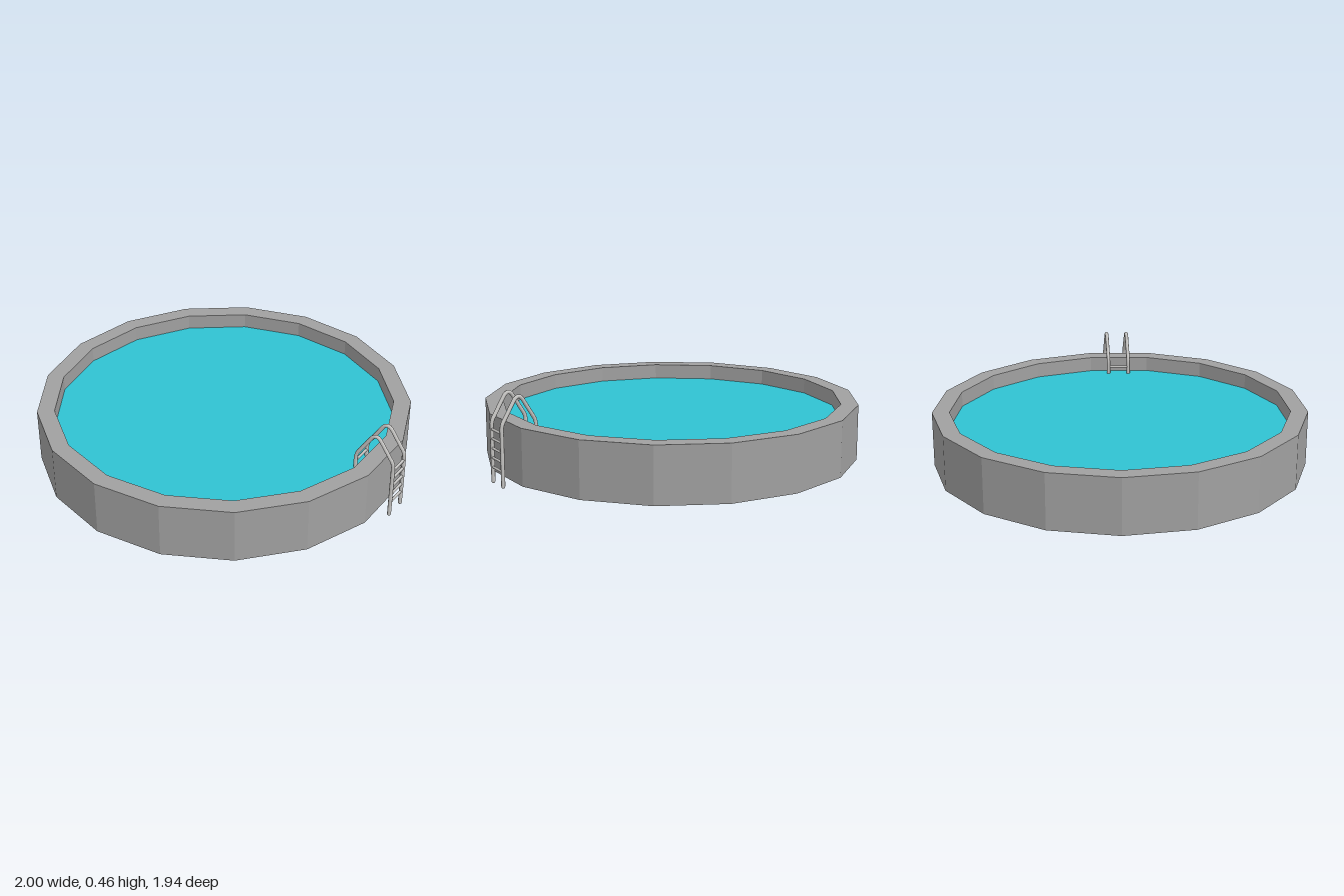
import * as THREE from 'three';

const SIDES = 17, OUTER = 0.977, INNER = 0.887;
const BASE = 0.025, RIM = 0.315, WATER = 0.235;
const CX = -0.027, CZ = -0.008;

const material = (name, color) => {
  const m = new THREE.MeshStandardMaterial({ color });
  m.name = name;
  return m;
};

export function createModel() {
  const stone = material('stone grey', 0xa0a0a0);
  stone.flatShading = true;
  const waterBlue = material('water blue', 0x2fc2d2);
  const metal = material('ladder metal', 0xc6c5c3);

  const model = new THREE.Group();
  model.name = 'swimmingPool';
  const add = (parent, name, geometry, mat) => {
    const mesh = new THREE.Mesh(geometry, mat);
    mesh.name = name;
    parent.add(mesh);
    return mesh;
  };

  // Faceted basin: underside, outer wall, rim, inner wall and floor
  const profile = [[0, BASE], [OUTER, BASE], [OUTER, RIM], [INNER, RIM], [INNER, 0.05], [0, 0.05]]
    .map(([r, y]) => new THREE.Vector2(r, y));
  const basinShape = new THREE.LatheGeometry(profile, SIDES).toNonIndexed();
  basinShape.computeVertexNormals();
  add(model, 'basin', basinShape, stone).position.set(CX, 0, CZ);

  // Water surface, with a corner towards the front like the basin
  const surface = new THREE.CircleGeometry(INNER, SIDES, -Math.PI / 2).rotateX(-Math.PI / 2);
  add(model, 'water', surface, waterBlue).position.set(CX, WATER, CZ);

  // Ladder straddling the rim; each rail runs from an inner to an outer foot
  const ladder = new THREE.Group();
  ladder.name = 'ladder';
  model.add(ladder);
  const rails = [
    { name: 'frontRail', inner: [0.797, -0.03], outer: [0.989, -0.071] },
    { name: 'backRail', inner: [0.787, -0.144], outer: [0.979, -0.185] },
  ];
  const at = (rail, t, y) => new THREE.Vector3(
    THREE.MathUtils.lerp(rail.inner[0], rail.outer[0], t), y,
    THREE.MathUtils.lerp(rail.inner[1], rail.outer[1], t));

  for (const rail of rails) {
    const p = (t, y) => at(rail, t, y);
    const path = new THREE.CurvePath();
    path.add(new THREE.LineCurve3(p(0, 0.06), p(0, 0.29)));
    path.add(new THREE.QuadraticBezierCurve3(p(0, 0.29), p(0, 0.318), p(0.08, 0.338)));
    path.add(new THREE.LineCurve3(p(0.08, 0.338), p(0.36, 0.425)));
    path.add(new THREE.QuadraticBezierCurve3(p(0.36, 0.425), p(0.5, 0.468), p(0.64, 0.425)));
    path.add(new THREE.LineCurve3(p(0.64, 0.425), p(0.92, 0.338)));
    path.add(new THREE.QuadraticBezierCurve3(p(0.92, 0.338), p(1, 0.318), p(1, 0.29)));
    path.add(new THREE.LineCurve3(p(1, 0.29), p(1, 0.01)));
    add(ladder, rail.name, new THREE.TubeGeometry(path, 80, 0.01, 8), metal);
    add(ladder, rail.name + 'Foot', new THREE.SphereGeometry(0.01, 8, 6), metal)
      .position.copy(p(1, 0.01));
  }

  // Rungs on both flights
  for (const [side, t] of [['inner', 0], ['outer', 1]]) {
    for (let i = 0; i < 5; i++) {
      const y = 0.083 + i * 0.048;
      const line = new THREE.LineCurve3(at(rails[0], t, y), at(rails[1], t, y));
      add(ladder, side + 'Rung', new THREE.TubeGeometry(line, 1, 0.007, 6), metal);
    }
  }
  return model;
}
